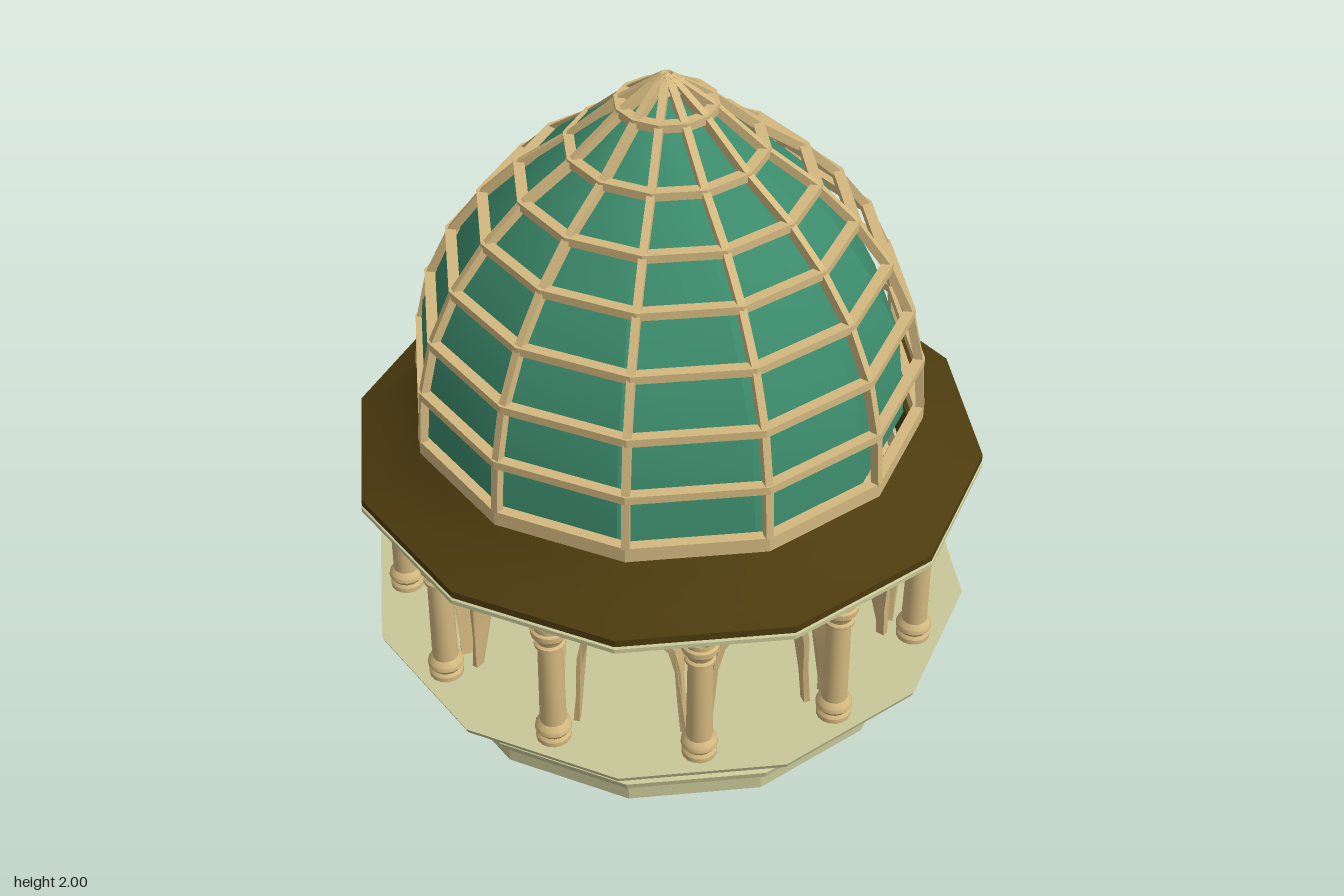
import * as THREE from 'three';
import { toCreasedNormals } from 'three/addons/utils/BufferGeometryUtils.js';

const SIDES = 12;
const STEP = (Math.PI * 2) / SIDES;

const stone = new THREE.MeshStandardMaterial({ color: 0xc8c898, side: THREE.DoubleSide });
stone.name = 'pale stone';
const tan = new THREE.MeshStandardMaterial({ color: 0xd3b87f, side: THREE.DoubleSide });
tan.name = 'tan trim';
const brown = new THREE.MeshStandardMaterial({ color: 0x4c3b0e, side: THREE.DoubleSide });
brown.name = 'brown roof';
const green = new THREE.MeshStandardMaterial({ color: 0x3b8a6b, side: THREE.DoubleSide });
green.name = 'green dome';

// Turned profile, points listed as [radius, height]
function turned(points, sides = SIDES, crease = 0.4) {
  const geo = new THREE.LatheGeometry(points.map(([r, y]) => new THREE.Vector2(r, y)), sides);
  return toCreasedNormals(geo, crease);
}

function add(parent, name, geo, material) {
  const mesh = new THREE.Mesh(geo, material);
  mesh.name = name;
  parent.add(mesh);
  return mesh;
}

// Pointed arch, deep at the crown and thin at the feet
function archGeometry() {
  const outer = [[0.165, 0.26], [0.152, 0.4], [0.146, 0.54], [0.13, 0.62], [0.08, 0.675], [0, 0.708]];
  const inner = [[0.147, 0.26], [0.136, 0.4], [0.13, 0.53], [0.113, 0.605], [0.07, 0.655], [0, 0.69]];
  const mirror = (pts) => pts.slice(0, -1).reverse().map(([x, y]) => [-x, y]);
  const outline = [...outer, ...mirror(outer), ...[...mirror(inner)].reverse(), ...[...inner].reverse()];
  const shape = new THREE.Shape(outline.map(([x, y]) => new THREE.Vector2(x, y)));
  const geo = new THREE.ExtrudeGeometry(shape, { depth: 1, bevelEnabled: false });
  const p = geo.attributes.position;
  for (let i = 0; i < p.count; i++) {
    const t = THREE.MathUtils.smoothstep(p.getY(i), 0.35, 0.69);
    const back = 0.685 - 0.085 * t;
    const front = 0.71 + 0.02 * t;
    p.setZ(i, p.getZ(i) > 0.5 ? front : back);
  }
  return toCreasedNormals(geo, 0.5);
}

export function createModel() {
  const model = new THREE.Group();
  model.name = 'domedPavilion';

  // Hollow moulded base, open below, with a floor opening
  add(model, 'base', turned([
    [0.52, 0], [0.745, 0.03], [0.745, 0.1], [0.775, 0.105], [0.78, 0.125], [0.75, 0.135],
    [0.745, 0.15], [0.76, 0.162], [0.785, 0.17], [0.79, 0.19], [0.75, 0.197], [0.76, 0.21],
    [0.83, 0.215], [0.84, 0.235], [0.865, 0.24], [0.87, 0.26], [0.905, 0.273], [0.912, 0.29],
    [0.36, 0.29],
  ]), stone);

  // Columns
  const columnGeo = turned([
    [0, 0.25], [0.05, 0.25], [0.05, 0.305], [0.043, 0.315], [0.053, 0.33], [0.051, 0.343],
    [0.038, 0.358], [0.035, 0.64], [0.044, 0.644], [0.044, 0.654], [0.037, 0.66],
    [0.041, 0.675], [0.053, 0.688], [0.053, 0.705], [0.046, 0.71], [0.046, 0.725],
  ], 16, 0.6);
  const columns = new THREE.Group();
  columns.name = 'columns';
  for (let i = 0; i < SIDES; i++) {
    const a = (i + 0.5) * STEP;
    add(columns, 'column', columnGeo, tan).position.set(0.8 * Math.sin(a), 0, 0.8 * Math.cos(a));
  }
  model.add(columns);

  // Arches standing just inside the columns
  const archGeo = archGeometry();
  const arches = new THREE.Group();
  arches.name = 'arches';
  for (let i = 0; i < SIDES; i++) add(arches, 'arch', archGeo, tan).rotation.y = i * STEP;
  model.add(arches);

  // Stepped ring carried by the columns
  add(model, 'entablature', turned([
    [0.69, 0.72], [0.83, 0.72], [0.835, 0.737], [0.865, 0.742], [0.87, 0.757],
    [0.9, 0.765], [0.905, 0.777], [0.93, 0.782], [0.93, 0.795], [0.9, 0.805], [0.69, 0.805], [0.69, 0.72],
  ]), stone);

  // Flared eave
  add(model, 'eave', turned([
    [0.7, 0.803], [0.928, 0.803], [0.928, 0.825], [0.865, 0.853], [0.81, 0.885],
    [0.765, 0.918], [0.735, 0.945], [0.7, 0.945], [0.7, 0.803],
  ]), brown);

  // Dome shell, set slightly towards the back
  add(model, 'domeShell', turned([
    [0.72, 0.935], [0.69, 1.21], [0.595, 1.4], [0.485, 1.57], [0.33, 1.72], [0.15, 1.86], [0, 1.94],
  ]), green).position.set(0.008, 0, -0.04);

  // Lattice: foot band, rings and ribs
  const lattice = new THREE.Group();
  lattice.name = 'lattice';
  add(lattice, 'footBand', turned([
    [0.715, 0.94], [0.747, 0.94], [0.747, 0.985], [0.715, 0.985], [0.715, 0.94],
  ]), tan);
  const curve = [
    [0.735, 0.985], [0.722, 1.14], [0.685, 1.3], [0.615, 1.45], [0.518, 1.58],
    [0.41, 1.685], [0.268, 1.785], [0.128, 1.907], [0.012, 1.985],
  ];
  for (const [r, y] of curve.slice(1, -1)) {
    add(lattice, 'ring', turned([
      [r - 0.016, y - 0.012], [r + 0.016, y - 0.012], [r + 0.016, y + 0.012],
      [r - 0.016, y + 0.012], [r - 0.016, y - 0.012],
    ]), tan);
  }
  for (let i = 0; i < SIDES; i++) {
    const rib = new THREE.Group();
    rib.name = 'rib';
    rib.rotation.y = i * STEP;
    for (let k = 0; k < curve.length - 1; k++) {
      const [r0, y0] = curve[k];
      const [r1, y1] = curve[k + 1];
      const length = Math.hypot(r1 - r0, y1 - y0) + 0.008;
      const bar = add(rib, 'ribBar', new THREE.BoxGeometry(0.024, length, 0.022), tan);
      bar.position.set((r0 + r1) / 2, (y0 + y1) / 2, 0);
      bar.rotation.z = Math.atan2(r0 - r1, y1 - y0);
    }
    lattice.add(rib);
  }
  add(lattice, 'peak', turned([[0, 1.95], [0.06, 1.958], [0, 2]]), tan);
  model.add(lattice);

  return model;
}
